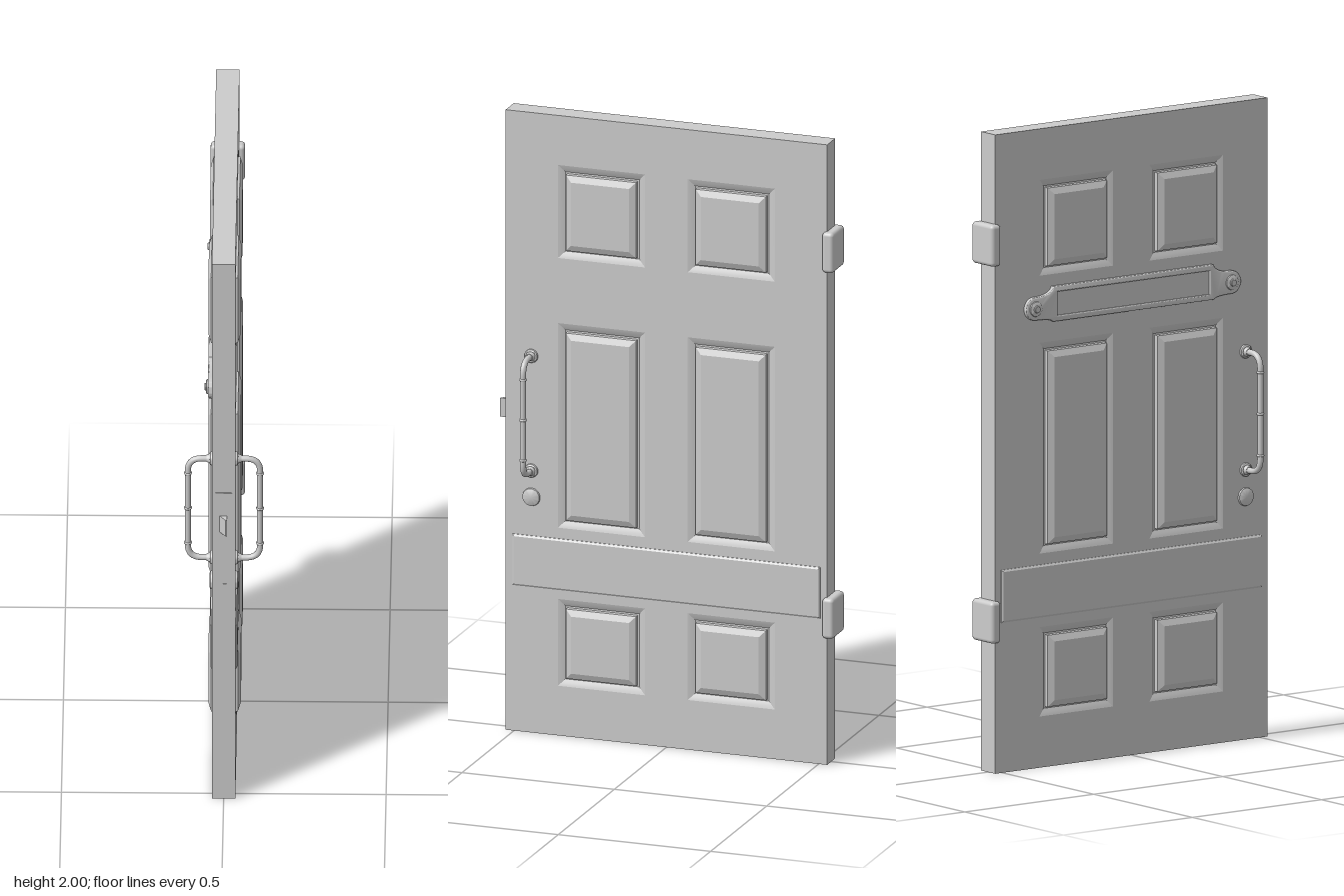
import * as THREE from 'three';
import { toCreasedNormals } from 'three/addons/utils/BufferGeometryUtils.js';
import { RoundedBoxGeometry } from 'three/addons/geometries/RoundedBoxGeometry.js';

const mat = new THREE.MeshStandardMaterial({ color: 0xcccccc, roughness: 0.7 });
const HALF = 0.036; // half the slab thickness
const WIDTH = 1.055;

function add(parent, name, geometry, x = 0, y = 0, z = 0) {
  const mesh = new THREE.Mesh(geometry, mat);
  mesh.name = name;
  mesh.position.set(x, y, z);
  parent.add(mesh);
  return mesh;
}

function trace(path, u0, y0, u1, y1) {
  return path.moveTo(u0, y0).lineTo(u1, y0).lineTo(u1, y1).lineTo(u0, y1).closePath();
}

// Concentric rectangular loops, each [inset, height], closed with a flat cap
function steppedPanel(w, h, steps) {
  const pos = [], idx = [];
  for (const [inset, height] of steps) {
    const a = w / 2 - inset, b = h / 2 - inset;
    pos.push(-a, -b, height, a, -b, height, a, b, height, -a, b, height);
  }
  for (let k = 0; k < steps.length - 1; k++) {
    for (let i = 0; i < 4; i++) {
      const p = k * 4 + i, q = k * 4 + ((i + 1) % 4);
      idx.push(p, q, q + 4, p, q + 4, p + 4);
    }
  }
  const e = (steps.length - 1) * 4;
  idx.push(e, e + 1, e + 2, e, e + 2, e + 3);
  const g = new THREE.BufferGeometry();
  g.setAttribute('position', new THREE.Float32BufferAttribute(pos, 3));
  g.setIndex(idx);
  return toCreasedNormals(g, 0.2);
}

// Disc whose axis points out of the face, with a rounded rim
function rosette(r, depth) {
  const pts = [[0, depth], [r * 0.8, depth], [r * 0.95, depth * 0.7], [r, 0]]
    .map(([a, b]) => new THREE.Vector2(a, b)).reverse();
  return toCreasedNormals(new THREE.LatheGeometry(pts, 28).rotateX(Math.PI / 2), 0.6);
}

// Pull handle: a bent rod with collars and end rosettes
function pullHandle() {
  const g = new THREE.Group();
  g.name = 'pullHandle';
  const v = (y, z) => new THREE.Vector3(0, y, z);
  const top = 0.185, out = 0.075, bend = 0.045;
  const path = new THREE.CurvePath();
  path.add(new THREE.LineCurve3(v(-top, 0), v(-top, out - bend)));
  path.add(new THREE.QuadraticBezierCurve3(v(-top, out - bend), v(-top, out), v(-top + bend, out)));
  path.add(new THREE.LineCurve3(v(-top + bend, out), v(top - bend, out)));
  path.add(new THREE.QuadraticBezierCurve3(v(top - bend, out), v(top, out), v(top, out - bend)));
  path.add(new THREE.LineCurve3(v(top, out - bend), v(top, 0)));
  add(g, 'handleRod', new THREE.TubeGeometry(path, 90, 0.0095, 14));
  for (const y of [-0.13, 0, 0.13]) {
    add(g, 'handleCollar', new THREE.TorusGeometry(0.0085, 0.004, 8, 20).rotateX(Math.PI / 2), 0, y, out);
  }
  for (const s of [-1, 1]) {
    add(g, 'handleRosette', rosette(0.022, 0.008), 0, s * top, 0);
    add(g, 'handleNeck', new THREE.CylinderGeometry(0.011, 0.016, 0.012, 20).rotateX(Math.PI / 2), 0, s * top, 0.012);
  }
  return g;
}

// Letter plate: framed flap between two rounded screw ears
function letterPlate() {
  const g = new THREE.Group();
  g.name = 'letterPlate';
  const w = 0.31, h = 0.055, ear = 0.38, r = 0.036, drop = -0.008;
  const s = new THREE.Shape();
  s.moveTo(-w, -h).lineTo(w, -h);
  s.quadraticCurveTo(w + 0.01, drop - r, ear, drop - r);
  s.absarc(ear, drop, r, -Math.PI / 2, Math.PI / 2, false);
  s.quadraticCurveTo(w + 0.01, drop + r, w, h);
  s.lineTo(-w, h);
  s.quadraticCurveTo(-w - 0.01, drop + r, -ear, drop + r);
  s.absarc(-ear, drop, r, Math.PI / 2, Math.PI * 1.5, false);
  s.quadraticCurveTo(-w - 0.01, drop - r, -w, -h);
  s.holes.push(trace(new THREE.Path(), -w + 0.015, -h + 0.018, w - 0.015, h - 0.018));
  const frame = new THREE.ExtrudeGeometry(s, {
    depth: 0.01, bevelThickness: 0.004, bevelSize: 0.004, bevelOffset: -0.004, bevelSegments: 3, curveSegments: 16,
  });
  add(g, 'letterPlateFrame', toCreasedNormals(frame, 0.6));
  add(g, 'letterFlap', new THREE.BoxGeometry(2 * w - 0.02, 2 * h - 0.03, 0.008), 0, 0, 0.004);
  for (const e of [-1, 1]) {
    add(g, 'screwBoss', rosette(0.024, 0.007), e * ear, drop, 0.013);
    add(g, 'screwHead', rosette(0.012, 0.006), e * ear, drop, 0.019);
  }
  return g;
}

export function createModel() {
  const model = new THREE.Group();
  model.name = 'door';

  // Slab with six panel openings
  const rows = [[0.16, 0.44], [0.67, 1.33], [1.54, 1.84]];
  const panelU = 0.213, panelW = 0.286;
  const outline = trace(new THREE.Shape(), -WIDTH / 2, 0, WIDTH / 2, 2);
  for (const [y0, y1] of rows) {
    for (const s of [-1, 1]) {
      const c = s * panelU;
      outline.holes.push(trace(new THREE.Path(), c - panelW / 2, y0, c + panelW / 2, y1));
    }
  }
  const slab = new THREE.ExtrudeGeometry(outline, { depth: HALF * 2, bevelEnabled: false });
  add(model, 'doorSlab', slab.translate(0, 0, -HALF).rotateY(Math.PI / 2));

  // Both faces: raised panels, rail, handle and keyhole cover
  for (const side of [1, -1]) {
    const face = new THREE.Group();
    face.name = side > 0 ? 'leftFace' : 'rightFace';
    face.rotation.y = side * Math.PI / 2;
    face.position.x = side * HALF;
    model.add(face);
    const profile = [[0, 0], [0.01, -0.003], [0.022, -0.009], [0.027, -0.008], [0.028, 0.005], [0.048, 0.014]];
    for (const [y0, y1] of rows) {
      for (const s of [-1, 1]) {
        add(face, 'raisedPanel', steppedPanel(panelW, y1 - y0, profile), s * panelU, (y0 + y1) / 2, 0);
      }
    }
    add(face, 'crossRail', steppedPanel(1.01, 0.165, [[0, 0], [0, 0.002], [0.006, 0.006]]), 0, 0.5525, 0);

    const u = -side * 0.443;
    const handle = pullHandle();
    handle.position.set(u, 1.03, 0);
    face.add(handle);
    add(face, 'keyholeCover', rosette(0.029, 0.008), u, 0.76, 0);

    if (side < 0) {
      const plate = letterPlate();
      plate.position.set(0, 1.448, 0);
      face.add(plate);
    }
  }

  // Lock on the front edge
  const edge = WIDTH / 2;
  add(model, 'lockFaceplate', new THREE.BoxGeometry(0.05, 0.51, 0.006), 0, 0.89, edge);
  const wedge = trace(new THREE.Shape(), 0, 0, 0, 0);
  wedge.curves.length = 0;
  wedge.moveTo(-0.013, 0).lineTo(0.011, 0).lineTo(0.011, 0.025).lineTo(0.006, 0.025).closePath();
  const bolt = new THREE.ExtrudeGeometry(wedge, { depth: 0.06, bevelEnabled: false });
  add(model, 'latchBolt', bolt.rotateX(Math.PI / 2).translate(0, 0.03, 0), 0, 1.03, edge + 0.002);
  add(model, 'deadBolt', new THREE.BoxGeometry(0.018, 0.085, 0.006), 0, 0.765, edge + 0.002);

  // Hinge blocks on the back edge
  for (const y of [0.475, 1.655]) {
    add(model, 'hinge', new RoundedBoxGeometry(0.106, 0.13, 0.038, 4, 0.012), 0, y, -0.534);
  }
  return model;
}
